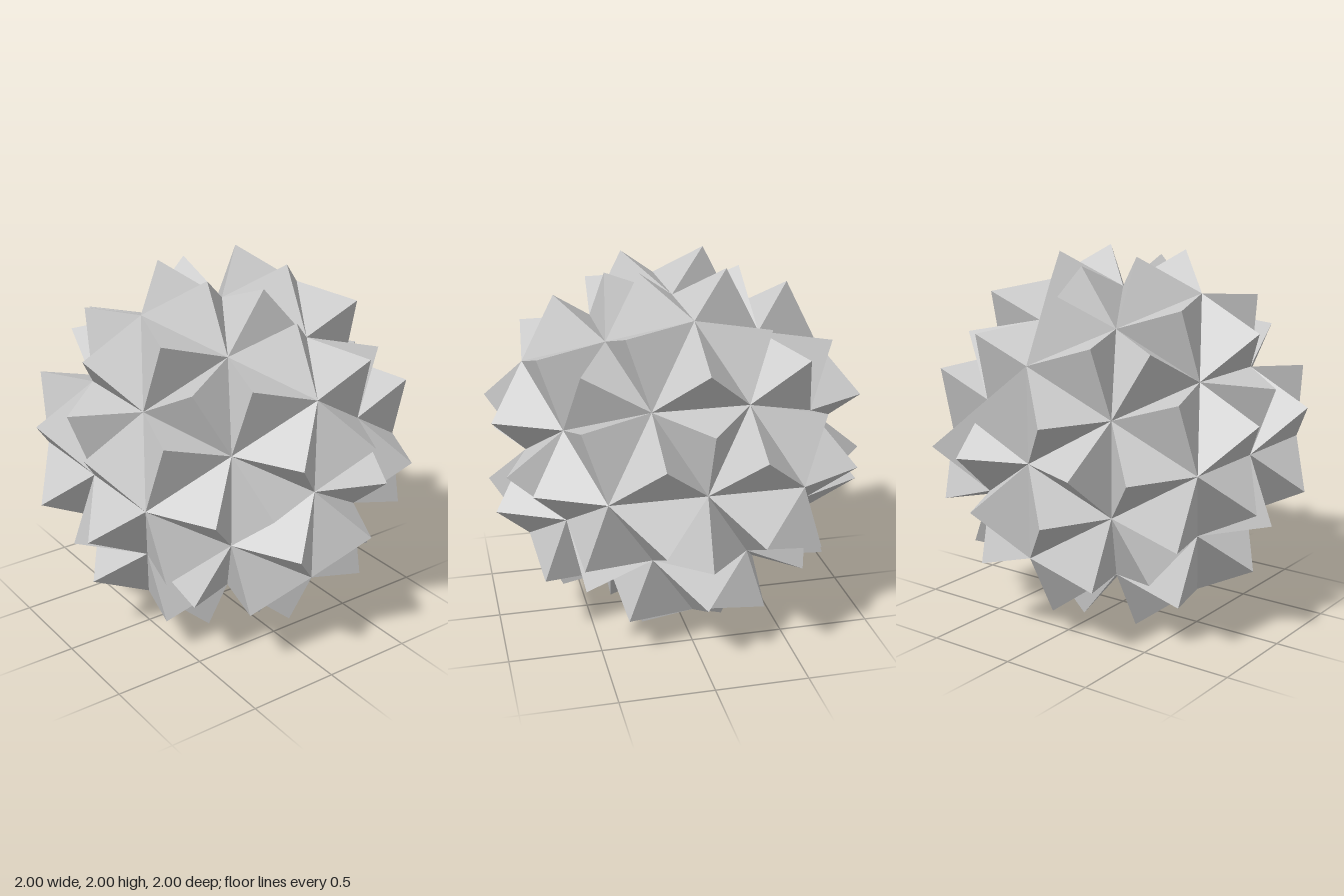
import * as THREE from 'three';

const CORE_RADIUS = 0.951; // icosahedron with edges one unit long
const SPIKE_HEIGHT = 0.26;

// Three outward sides of a pyramid standing on triangle a, b, c
function addSpike(out, a, b, c) {
  const normal = new THREE.Triangle(a, b, c).getNormal(new THREE.Vector3());
  const apex = a.clone().add(b).add(c).divideScalar(3).addScaledVector(normal, SPIKE_HEIGHT);
  for (const [p, q] of [[a, b], [b, c], [c, a]]) out.push(p, q, apex);
}

export function createModel() {
  const group = new THREE.Group();
  group.name = 'spikedIcosahedron';

  // Split every icosahedron face into four flat triangles and raise a spike on each
  const core = new THREE.IcosahedronGeometry(CORE_RADIUS, 0).getAttribute('position');
  const points = [];
  for (let i = 0; i < core.count; i += 3) {
    const [a, b, c] = [0, 1, 2].map((k) => new THREE.Vector3().fromBufferAttribute(core, i + k));
    const ab = a.clone().lerp(b, 0.5);
    const bc = b.clone().lerp(c, 0.5);
    const ca = c.clone().lerp(a, 0.5);
    addSpike(points, a, ab, ca);
    addSpike(points, ab, b, bc);
    addSpike(points, ca, bc, c);
    addSpike(points, ab, bc, ca);
  }

  const geometry = new THREE.BufferGeometry().setFromPoints(points);
  geometry.computeVertexNormals();
  const material = new THREE.MeshStandardMaterial({ color: 0xcccccc, flatShading: true });
  const spikes = new THREE.Mesh(geometry, material);
  spikes.name = 'spikes';
  spikes.position.y = 1;
  group.add(spikes);
  return group;
}
